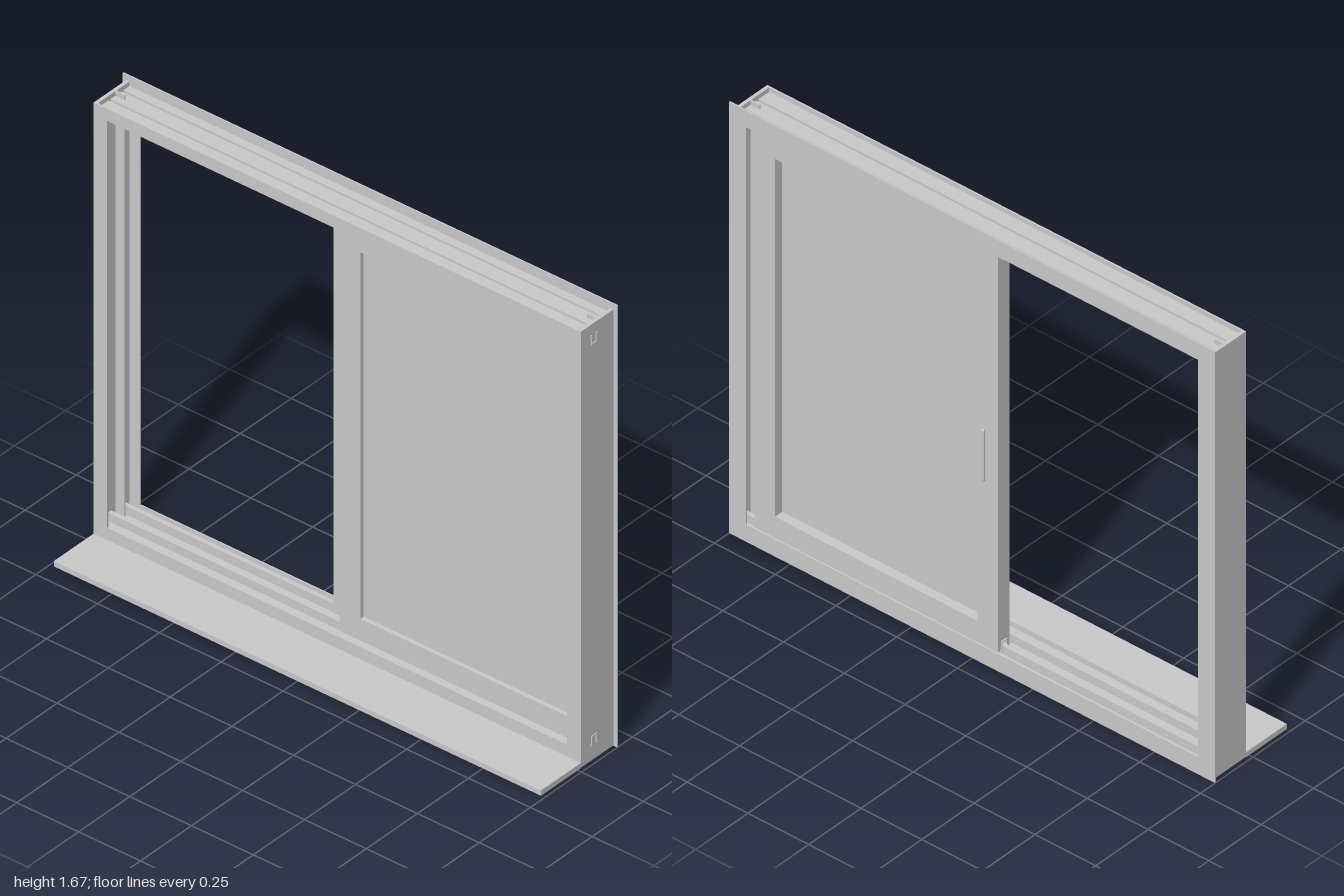
import * as THREE from 'three';

export function createModel() {
  const model = new THREE.Group();
  model.name = 'slidingWindow';
  const mat = new THREE.MeshStandardMaterial({ color: 0xcccccc, flatShading: true, side: THREE.DoubleSide });

  const H = 1.675;                 // overall height
  const BACK = 0.015, FRONT = 0.18; // frame depth along x
  const END = 0.985;               // outer face of the jambs
  const RAILS = [0.077, 0.14];     // centre lines of the two tracks

  const add = (parent, name, geo) => {
    const mesh = new THREE.Mesh(geo, mat);
    mesh.name = name;
    parent.add(mesh);
    return mesh;
  };
  const box = (parent, name, x0, x1, y0, y1, z0, z1) => {
    const g = new THREE.BoxGeometry(x1 - x0, y1 - y0, z1 - z0);
    return add(parent, name, g.translate((x0 + x1) / 2, (y0 + y1) / 2, (z0 + z1) / 2));
  };
  // Cross-section in (x, y), run along z
  const run = (parent, name, pts, z0, z1) => {
    const shape = new THREE.Shape(pts.map(p => new THREE.Vector2(p[0], p[1])));
    const g = new THREE.ExtrudeGeometry(shape, { depth: z1 - z0, bevelEnabled: false });
    return add(parent, name, g.translate(0, 0, z0));
  };
  const rect = (z0, z1, y0, y1) => [[z0, y0], [z1, y0], [z1, y1], [z0, y1]].map(p => new THREE.Vector2(...p));
  // Flat ring facing x, outer and inner rectangles given as z0, z1, y0, y1
  const ring = (parent, name, outer, inner, x0, x1) => {
    const shape = new THREE.Shape(rect(...outer));
    shape.holes.push(new THREE.Path(rect(...inner)));
    const g = new THREE.ExtrudeGeometry(shape, { depth: x1 - x0, bevelEnabled: false });
    return add(parent, name, g.rotateY(-Math.PI / 2).translate(x1, 0, 0));
  };

  // Track outline: d is the distance inward from the outer edge of the frame
  const track = (base, tip, half) => RAILS.flatMap(x =>
    [[x - half, base], [x - half, tip], [x + half, tip], [x + half, base]]);
  const inner = [[BACK, 0.066], [BACK + 0.006, 0.066], [BACK + 0.006, 0.045],
    ...track(0.045, 0.077, 0.008), [FRONT - 0.005, 0.045]];

  // Outer frame
  const frame = new THREE.Group();
  frame.name = 'frame';
  model.add(frame);
  ring(frame, 'frontFlange', [-1, 1, 0, H], [-0.93, 0.93, 0.067, H - 0.065], FRONT - 0.005, FRONT);
  run(frame, 'bottomTrack', [[BACK, 0.002], ...inner, [FRONT - 0.005, 0.002]], -END, END);
  const outer = [[BACK, 0.02], [BACK + 0.006, 0.02], [BACK + 0.006, 0.037],
    ...track(0.037, 0.07, 0.005), [FRONT - 0.005, 0.037]];
  run(frame, 'headTrack', [...inner, ...outer.reverse()].map(([x, d]) => [x, H - d]), -END + 0.01, END - 0.01);
  for (const s of [-1, 1]) {
    const jamb = (name, x0, x1, z0, z1) =>
      box(frame, name, x0, x1, 0.002, H - 0.02, Math.min(s * z0, s * z1), Math.max(s * z0, s * z1));
    jamb('jamb', BACK, FRONT - 0.004, 0.972, END);
    jamb('jambBackLip', BACK, BACK + 0.006, 0.93, 0.975);
    jamb('jambDivider', 0.106, 0.111, 0.935, 0.975);
  }
  box(model, 'sillBoard', -0.18, BACK, 0, 0.02, -END, END);

  // Sash: grooved top and bottom rails, stiles, pane, guides and pull
  const Y0 = 0.06, Y1 = H - 0.06, STILE = 0.083;
  const sash = (name, cx, z0, z1) => {
    const g = new THREE.Group();
    g.name = name;
    model.add(g);
    const x0 = cx - 0.0275, x1 = cx + 0.0275;
    const railShape = [[x0, Y0], [cx - 0.011, Y0], [cx - 0.011, 0.095], [cx + 0.011, 0.095],
      [cx + 0.011, Y0], [x1, Y0], [x1, Y0 + STILE], [x0, Y0 + STILE]];
    const guide = [[-0.017, 0.06], [-0.009, 0.06], [-0.009, 0.092], [0.009, 0.092], [0.009, 0.06], [0.017, 0.06],
      [0.017, 0.064], [0.013, 0.064], [0.013, 0.096], [-0.013, 0.096], [-0.013, 0.064], [-0.017, 0.064]];
    for (const up of [false, true]) {
      const flip = ([x, y]) => [x, up ? H - y : y];
      run(g, up ? 'topRail' : 'bottomRail', railShape.map(flip), z0, z1);
      for (const [a, b] of [[z0 - 0.006, z0 + 0.01], [z1 - 0.01, z1 + 0.006]])
        run(g, 'trackGuide', guide.map(([x, y]) => flip([cx + x, y])), a, b);
    }
    box(g, 'stile', x0, x1, Y0 + STILE, Y1 - STILE, z0, z0 + STILE);
    box(g, 'stile', x0, x1, Y0 + STILE, Y1 - STILE, z1 - STILE, z1);
    box(g, 'pane', x0 + 0.015, x0 + 0.021, Y0 + STILE, Y1 - STILE, z0 + STILE, z1 - STILE);
    return { g, face: x1 };
  };
  const pull = ({ g, face }, z) => {
    const bar = new THREE.CapsuleGeometry(0.007, 0.19, 4, 10);
    add(g, 'pullHandle', bar.scale(0.9, 1, 1).translate(face + 0.001, 0.8, z));
    const pin = new THREE.CylinderGeometry(0.004, 0.004, 0.016, 10);
    add(g, 'handlePin', pin.rotateZ(Math.PI / 2).translate(face, 0.872, z));
  };
  pull(sash('frontSash', RAILS[1], -0.095, 0.905), -0.035);
  pull(sash('backSash', RAILS[0], -0.017, 0.983), 0.923);

  return model;
}
